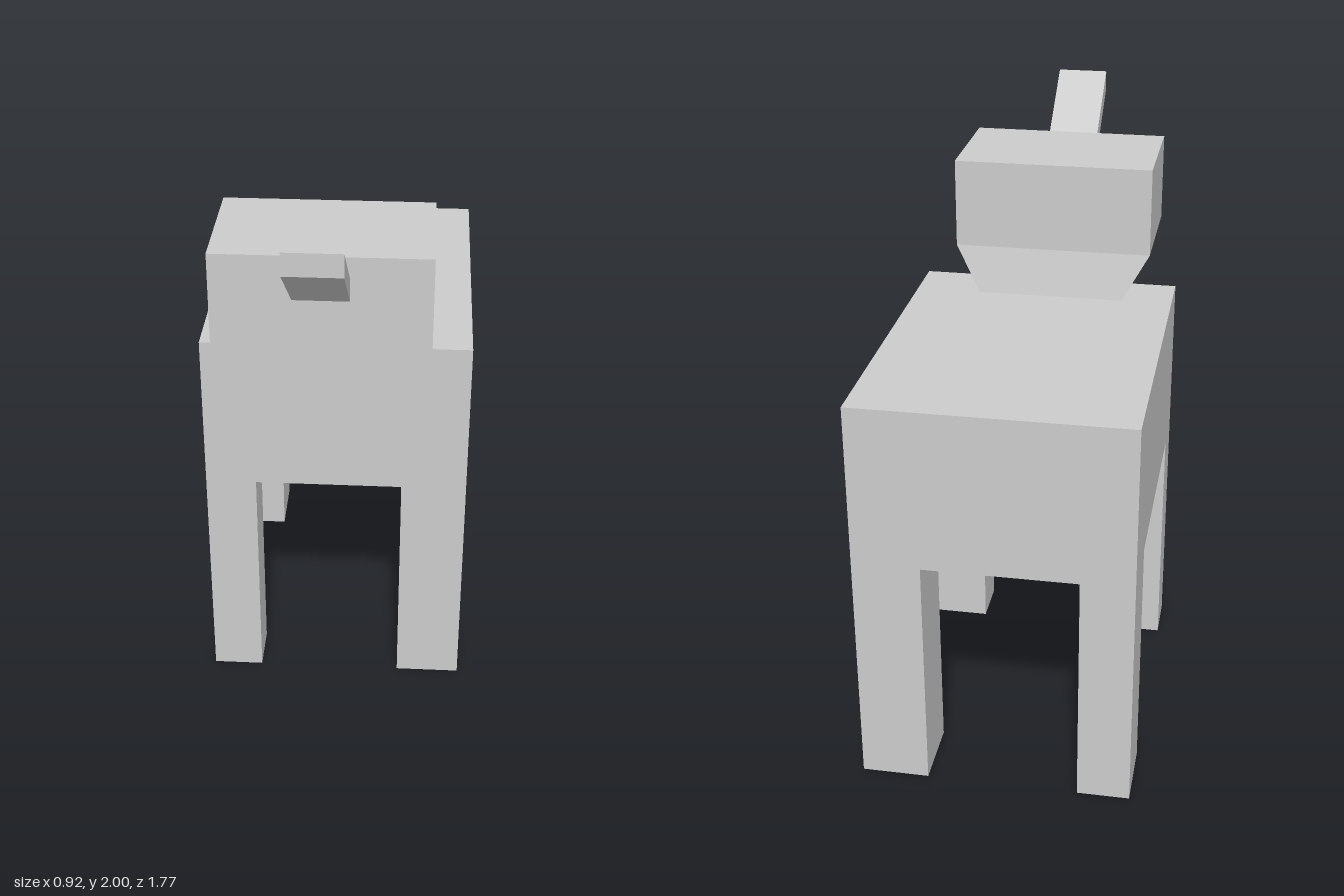
import * as THREE from 'three';

const material = new THREE.MeshStandardMaterial({ color: 0xcccccc, flatShading: true });

function part(name, geometry) {
  const mesh = new THREE.Mesh(geometry, material);
  mesh.name = name;
  return mesh;
}

// Box given by its limits on each axis
function block(name, [x0, x1], [y0, y1], [z0, z1]) {
  const geometry = new THREE.BoxGeometry(x1 - x0, y1 - y0, z1 - z0);
  geometry.translate((x0 + x1) / 2, (y0 + y1) / 2, (z0 + z1) / 2);
  return part(name, geometry);
}

// Stack of rectangular sections [y, x0, x1, z0, z1], from bottom to top
function loftRects(sections) {
  const points = [];
  const index = [];
  sections.forEach(([y, x0, x1, z0, z1], s) => {
    points.push(x0, y, z1, x1, y, z1, x1, y, z0, x0, y, z0);
    if (s === 0) return;
    for (let i = 0; i < 4; i++) {
      const a = (s - 1) * 4 + i;
      const b = (s - 1) * 4 + (i + 1) % 4;
      index.push(a, b, b + 4, a, b + 4, a + 4);
    }
  });
  const top = (sections.length - 1) * 4;
  index.push(top, top + 1, top + 2, top, top + 2, top + 3);
  index.push(0, 2, 1, 0, 3, 2);
  const indexed = new THREE.BufferGeometry();
  indexed.setAttribute('position', new THREE.Float32BufferAttribute(points, 3));
  indexed.setIndex(index);
  const geometry = indexed.toNonIndexed();
  geometry.computeVertexNormals();
  return geometry;
}

export function createModel() {
  const model = new THREE.Group();
  model.name = 'animal';

  // Everything shares the body's slight turn about the vertical axis
  const animal = new THREE.Group();
  animal.name = 'turnedBody';
  animal.position.set(-0.003, 0, -0.304);
  animal.rotation.y = 0.009;
  model.add(animal);

  // Body
  const bellyY = 0.825;
  const backY = 1.378;
  animal.add(block('body', [-0.456, 0.456], [bellyY, backY], [-0.58, 0.58]));

  // Legs: the left pair is wider and the hind pair is deeper
  const sides = { Right: [-0.456, -0.28], Left: [0.23, 0.456] };
  const ends = { front: [0.409, 0.58], hind: [-0.58, -0.343] };
  for (const [end, z] of Object.entries(ends)) {
    for (const [side, x] of Object.entries(sides)) {
      animal.add(block(`${end}${side}Leg`, x, [0, bellyY], z));
    }
  }

  // Neck flaring into the head
  animal.add(part('neckAndHead', loftRects([
    [backY, -0.28, 0.23, 0.409, 0.58],
    [1.537, -0.371, 0.319, 0.45, 0.877],
    [1.845, -0.371, 0.319, 0.45, 0.877],
  ])));

  // Trunk: slanted bar with an upright end
  const profile = new THREE.Shape([
    new THREE.Vector2(0.877, 1.697),
    new THREE.Vector2(1.184, 1.926),
    new THREE.Vector2(1.184, 2.0),
    new THREE.Vector2(0.877, 1.773),
  ]);
  const trunk = new THREE.ExtrudeGeometry(profile, { depth: 0.179, bevelEnabled: false });
  trunk.rotateY(-Math.PI / 2);
  trunk.translate(0.064, 0, 0);
  animal.add(part('trunk', trunk));

  return model;
}
